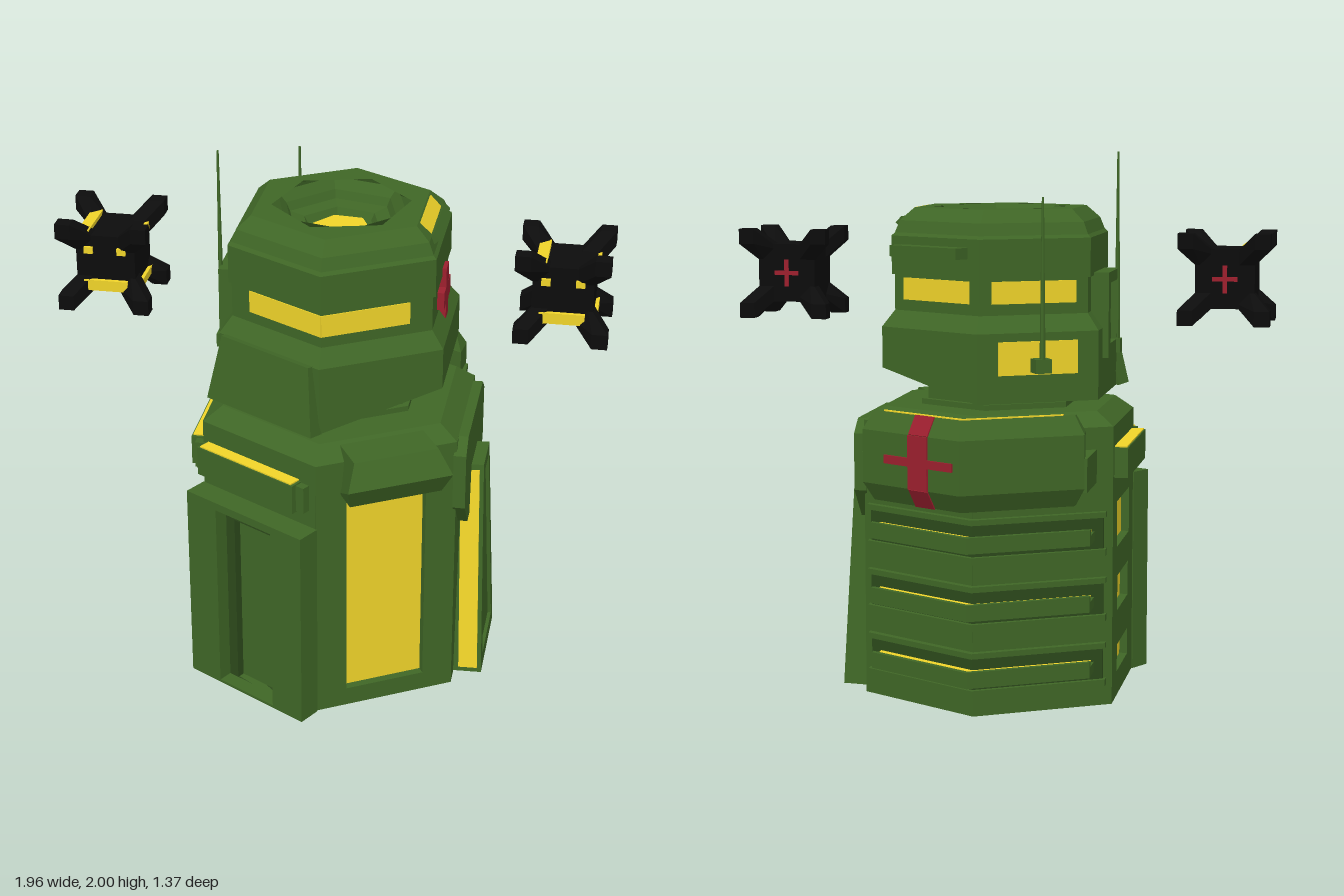
import * as THREE from 'three';

const CX = 0.02, CZ = 0.07, S3 = Math.sqrt(3), DEG = Math.PI / 180;
const paint = (color) => new THREE.MeshStandardMaterial({ color, flatShading: true, side: THREE.DoubleSide });

export function createModel() {
  const root = new THREE.Group();
  const green = paint(0x3f6626), dark = paint(0x2c491b), yellow = paint(0xf0d429);
  const red = paint(0x9c1f2e), black = paint(0x0c0c0c);

  const add = (parent, name, geo, mat, x = 0, y = 0, z = 0, rx = 0) => {
    const m = new THREE.Mesh(geo, mat);
    m.name = name;
    m.position.set(x, y, z);
    m.rotation.x = rx;
    parent.add(m);
    return m;
  };
  const poly = (pts) => new THREE.Shape(pts.map(([x, y]) => new THREE.Vector2(x, y)));
  const extrude = (shape, depth) => new THREE.ExtrudeGeometry(shape, { depth, bevelEnabled: false });
  const rect = (x0, x1, y0, y1) => [[x0, y0], [x1, y0], [x1, y1], [x0, y1]];
  const withHole = (outer, ...holes) => {
    const s = poly(outer);
    s.holes.push(...holes.map((h) => poly(h.slice().reverse())));
    return s;
  };
  // box given by its ranges along the tangent, up and outward
  const block = (parent, name, mat, x0, x1, y0, y1, z0, z1) =>
    add(parent, name, new THREE.BoxGeometry(x1 - x0, y1 - y0, z1 - z0), mat, (x0 + x1) / 2, (y0 + y1) / 2, (z0 + z1) / 2);
  const cross = (parent, x, y, z, w, h, tw, th) => {
    block(parent, 'crossUpright', red, x - tw / 2, x + tw / 2, y - h / 2, y + h / 2, z - 0.02, z + 0.008);
    block(parent, 'crossBar', red, x - w / 2, x + w / 2, y - th / 2, y + th / 2, z - 0.02, z + 0.008);
  };

  // central hexagonal tower
  const tower = new THREE.Group();
  tower.name = 'tower';
  tower.position.set(CX, 0, CZ);
  root.add(tower);

  // one group per side, local z points outward
  const sides = {};
  for (const [key, a] of [['frontRight', -30], ['frontLeft', 30], ['left', 90], ['backLeft', 150], ['backRight', -150], ['right', -90]]) {
    const g = new THREE.Group();
    g.name = key + 'Side';
    g.rotation.y = a * DEG;
    tower.add(g);
    sides[key] = g;
  }
  const { frontRight, frontLeft, left, backLeft, backRight, right } = sides;

  // body walls with recessed windows
  add(tower, 'bodyCore', new THREE.CylinderGeometry(0.485, 0.485, 1.03, 6), green, 0, 0.515, 0);
  const openings = {
    frontLeft: [rect(-0.15, 0.15, 0.08, 0.87)],
    right: [rect(-0.14, 0.14, 0.1, 0.2), rect(-0.14, 0.14, 0.33, 0.46), rect(-0.16, 0.16, 0.57, 0.74)],
  };
  for (const key in sides) {
    const holes = openings[key] || [];
    add(sides[key], 'wall', extrude(withHole(rect(-0.265, 0.265, 0.01, 1.03), ...holes), 0.05), green, 0, 0, 0.41);
    for (const h of holes) block(sides[key], 'window', yellow, h[0][0], h[1][0], h[0][1], h[2][1], 0.41, 0.43);
  }
  add(tower, 'bodyTop', new THREE.CylinderGeometry(0.455, 0.53, 0.05, 6), green, 0, 1.055, 0);
  add(tower, 'neckRing', new THREE.CylinderGeometry(0.31, 0.31, 0.02, 6), green, 0, 1.09, 0);
  add(tower, 'neck', new THREE.CylinderGeometry(0.285, 0.285, 0.08, 6), green, 0, 1.11, 0);

  // doorway
  add(frontRight, 'doorFrame', extrude(withHole(rect(-0.27, 0.27, 0.01, 0.78), rect(-0.13, 0.13, 0.02, 0.75)), 0.09), green, 0, 0, 0.46);
  add(frontRight, 'doorInnerFrame', extrude(withHole(rect(-0.13, 0.13, 0.01, 0.75), rect(-0.09, 0.09, 0.02, 0.7)), 0.035), dark, 0, 0, 0.46);
  block(frontRight, 'door', green, -0.09, 0.09, 0.01, 0.7, 0.455, 0.466);
  block(frontRight, 'doorStrip', yellow, 0.078, 0.084, 0.02, 0.68, 0.46, 0.47);

  // ledges with bright tops
  for (const [side, x0, x1] of [[frontRight, -0.25, 0.2], [right, -0.24, 0.24]]) {
    block(side, 'ledge', green, x0, x1, 0.84, 0.95, 0.45, 0.51);
    block(side, 'ledgeTop', yellow, x0 + 0.01, x1 - 0.01, 0.945, 0.955, 0.46, 0.505);
    block(side, 'ledgeEnd', green, x1, x1 + 0.035, 0.845, 0.945, 0.45, 0.49);
  }

  // hood above the tall front window, narrower at the top
  const hoodGeo = extrude(poly([[0.44, 0.9], [0.55, 0.9], [0.595, 0.98], [0.55, 1.07], [0.4, 1.07]]), 0.39);
  hoodGeo.translate(0, 0, -0.195);
  hoodGeo.rotateY(-Math.PI / 2);
  const hp = hoodGeo.attributes.position;
  for (let i = 0; i < hp.count; i++) {
    if (hp.getY(i) > 1.0) hp.setX(i, hp.getX(i) * 0.8);
    else if (hp.getY(i) < 0.95) hp.setX(i, hp.getX(i) * 0.88);
  }
  hoodGeo.computeVertexNormals();
  add(frontLeft, 'hood', hoodGeo, green);

  // left side collar and tapered buttress
  add(left, 'collar', extrude(poly([[-0.18, 0.66], [0.18, 0.66], [0.28, 0.77], [0.28, 0.98], [0.22, 1.03], [-0.22, 1.03], [-0.28, 0.98], [-0.28, 0.77]]), 0.045), green, 0, 0, 0.45);
  const tilt = -0.03;
  add(left, 'buttress', extrude(withHole([[-0.195, 0], [0.195, 0], [0.09, 0.83], [-0.09, 0.83]], [[-0.145, 0.05], [0.145, 0.05], [0.07, 0.79], [-0.07, 0.79]]), 0.12), green, 0, 0.015, 0.445, tilt);
  add(left, 'buttressPanel', extrude(poly([[-0.15, 0.04], [0.15, 0.04], [0.075, 0.8], [-0.075, 0.8]]), 0.107), green, 0, 0.015, 0.445, tilt);
  const flank = extrude(poly([[-0.198, 0.02], [-0.188, 0.02], [-0.086, 0.81], [-0.096, 0.81]]), 0.07);
  add(left, 'buttressFlank', flank, yellow, 0, 0.015, 0.48, tilt);

  // chevron that wraps the back corner, between two corner radii
  const chevron = (r0, r1, w) => poly([[w, r1 - w / S3], [0, r1], [-w, r1 - w / S3], [-w, r0 - w / S3], [0, r0], [w, r0 - w / S3]]);
  const wrap = (name, mat, r0, r1, w, y0, y1) => {
    const g = extrude(chevron(r0, r1, w), y1 - y0);
    g.rotateX(-Math.PI / 2);
    add(tower, name, g, mat, 0, y0, 0);
  };
  for (const y of [0.17, 0.41, 0.65]) {
    wrap('finBacking', dark, 0.5, 0.54, 0.43, y - 0.06, y + 0.06);
    wrap('finUpperRail', green, 0.5, 0.56, 0.44, y + 0.055, y + 0.075);
    wrap('finLowerRail', green, 0.5, 0.56, 0.44, y - 0.085, y - 0.06);
    wrap('fin', green, 0.5, 0.645, 0.4, y - 0.03, y + 0.005);
    wrap('finTray', yellow, 0.54, 0.625, 0.39, y, y + 0.012);
    wrap('finLip', green, 0.622, 0.645, 0.4, y, y + 0.028);
  }

  // wraparound back pack with arms
  const packGeo = new THREE.ExtrudeGeometry(chevron(0.69, 0.716, 0.36), { depth: 0.19, bevelThickness: 0.065, bevelSize: 0.037, bevelSegments: 1 });
  packGeo.rotateX(-Math.PI / 2);
  add(tower, 'pack', packGeo, green, 0, 0.845, 0);
  wrap('packStrip', yellow, 0.695, 0.71, 0.32, 1.09, 1.104);
  for (const s of [-1, 1]) {
    block(tower, 'packArm', green, s * 0.375 - 0.03, s * 0.375 + 0.03, 0.83, 0.95, -0.52, -0.24);
  }
  cross(backLeft, 0.19, 0.94, 0.657, 0.32, 0.19, 0.09, 0.03);
  add(backLeft, 'crossTop', new THREE.BoxGeometry(0.09, 0.075, 0.012), red, 0.19, 1.067, 0.637, -30 * DEG);
  add(backLeft, 'crossBottom', new THREE.BoxGeometry(0.09, 0.075, 0.012), red, 0.19, 0.813, 0.637, 30 * DEG);

  // head shell, its jaw rising toward the left side
  const profile = [[0, 1.12], [0.46, 1.12], [0.46, 1.37], [0.41, 1.43], [0.41, 1.71], [0.39, 1.755], [0.335, 1.8]];
  const headGeo = new THREE.LatheGeometry(profile.map((p) => new THREE.Vector2(...p)), 6);
  const ps = headGeo.attributes.position;
  for (let i = 0; i < ps.count; i++) if (ps.getY(i) < 1.13 && ps.getX(i) > 0.3) ps.setY(i, 1.22);
  headGeo.computeVertexNormals();
  add(tower, 'head', headGeo, green);
  const browGeo = new THREE.LatheGeometry([[0.4, 1.56], [0.422, 1.56], [0.422, 1.7], [0.4, 1.72]].map((p) => new THREE.Vector2(...p)), 6);
  add(tower, 'browBand', browGeo, green);

  // roof rim and twisted bowl
  const hex = (r, a) => Array.from({ length: 6 }, (_, i) => {
    const t = a * DEG + i * Math.PI / 3;
    return [r * Math.sin(t), -r * Math.cos(t)];
  });
  const bowlTwist = 16;
  const rim = new THREE.ShapeGeometry(withHole(hex(0.335, 0), hex(0.247, -bowlTwist)));
  rim.rotateX(-Math.PI / 2);
  add(tower, 'roofRim', rim, green, 0, 1.8, 0);
  const bowl = new THREE.LatheGeometry([[0, 1.7], [0.13, 1.7], [0.145, 1.725], [0.2, 1.735], [0.215, 1.765], [0.247, 1.8]].map((p) => new THREE.Vector2(...p)), 6);
  add(tower, 'roofBowl', bowl, green).rotation.y = bowlTwist * DEG;
  add(tower, 'roofLight', new THREE.CylinderGeometry(0.105, 0.105, 0.01, 6), yellow, 0, 1.706, 0).rotation.y = (bowlTwist + 8) * DEG;

  // head windows
  for (const [side, x0, x1] of [[frontRight, -0.12, 0.206], [frontLeft, -0.206, 0.12], [backLeft, -0.16, 0.16], [backRight, -0.16, 0.16]]) {
    block(side, 'headWindow', yellow, x0, x1, 1.47, 1.55, 0.34, 0.359);
  }
  block(backLeft, 'awning', green, -0.16, 0.16, 1.63, 1.67, 0.35, 0.43);
  block(backRight, 'jawWindow', yellow, -0.15, 0.15, 1.22, 1.34, 0.38, 0.402);
  add(left, 'roofWindow', new THREE.BoxGeometry(0.25, 0.055, 0.012), yellow, 0, 1.775, 0.313, -43 * DEG);
  add(left, 'roofVisor', new THREE.BoxGeometry(0.29, 0.03, 0.03), green, 0, 1.745, 0.345, -43 * DEG);
  cross(left, 0, 1.485, 0.372, 0.17, 0.21, 0.065, 0.065);

  // sloping cheek plate
  add(frontRight, 'cheekPlate', extrude(poly([[-0.25, 0], [0.235, 0], [0.2, 0.25], [-0.2, 0.25]]), 0.06), green, 0, 1.12, 0.39, -0.12);

  // antennas and the equipment box on the right side
  add(right, 'equipmentBox', extrude(withHole(rect(-0.13, 0.13, 1.26, 1.57), rect(-0.08, 0.08, 1.31, 1.53)), 0.09), green, 0, 0, 0.33);
  block(right, 'equipmentPanel', yellow, -0.08, 0.08, 1.44, 1.53, 0.34, 0.375);
  const mast = (side, x, z, y0, y1) => {
    add(side, 'antenna', new THREE.CylinderGeometry(0.004, 0.011, y1 - y0, 6), green, x, (y0 + y1) / 2, z);
    block(side, 'antennaBase', green, x - 0.03, x + 0.03, y0 - 0.03, y0 + 0.02, z - 0.04, z + 0.015);
  };
  mast(right, 0.09, 0.42, 1.29, 2);
  mast(backRight, 0, 0.445, 1.26, 1.85);

  // floating pods: cubes pinched between their corners
  for (const s of [-1, 1]) {
    const pod = new THREE.Group();
    pod.name = s > 0 ? 'leftPod' : 'rightPod';
    pod.position.set(s * 0.815, 1.55, 0.075);
    root.add(pod);
    const geo = new THREE.BoxGeometry(2, 2, 2, 5, 5, 5);
    const p = geo.attributes.position;
    for (let i = 0; i < p.count; i++) {
      const v = [p.getX(i), p.getY(i), p.getZ(i)];
      const pinched = v.some((c) => Math.abs(c) < 0.4);
      p.setXYZ(i, ...v.map((c) => {
        const a = Math.abs(c);
        return Math.sign(c) * (a > 0.9 ? (pinched ? 0.107 : 0.165) : a > 0.5 ? (pinched ? 0.09 : 0.11) : 0.05);
      }));
    }
    geo.computeVertexNormals();
    add(pod, 'podShell', geo, black);
    block(pod, 'podFrontLight', yellow, -0.08, 0.08, -0.1, -0.06, 0.08, 0.122);
    for (const e of [-1, 1]) {
      block(pod, 'podEye', yellow, e * 0.06 - 0.016, e * 0.06 + 0.016, 0.04, 0.065, 0.08, 0.118);
      block(pod, 'podSideLight', yellow, 0.08, 0.12, e * 0.09 - 0.014, e * 0.09 + 0.014, -0.09, 0.09);
    }
    block(pod, 'podTopLight', yellow, -0.1, -0.06, 0.08, 0.122, -0.1, 0.1);
    block(pod, 'podCrossUpright', red, -0.008, 0.008, -0.05, 0.05, -0.112, -0.09);
    block(pod, 'podCrossBar', red, -0.045, 0.045, -0.008, 0.008, -0.112, -0.09);
  }
  return root;
}
